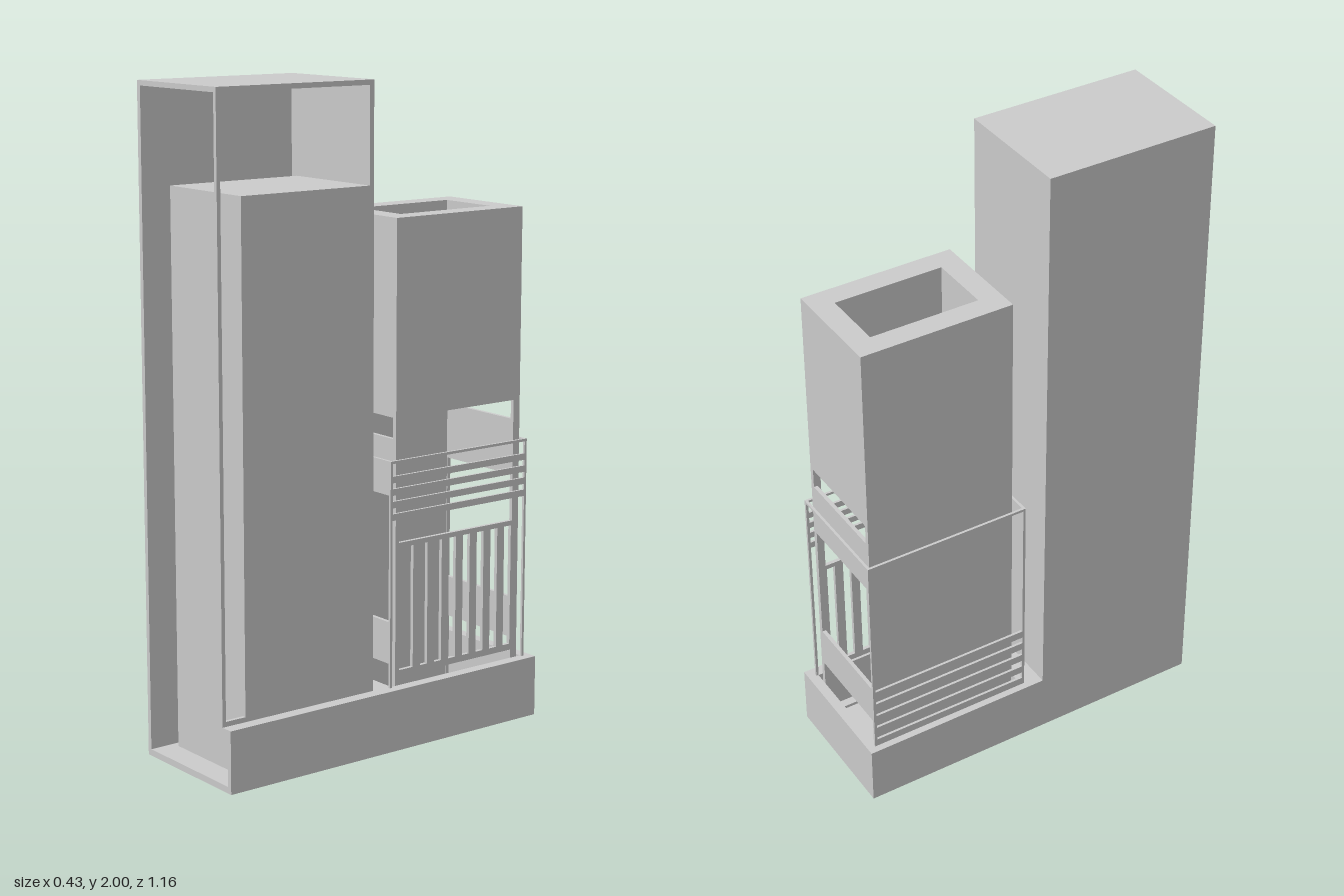
import * as THREE from 'three';

const material = new THREE.MeshStandardMaterial({ color: 0xcccccc, side: THREE.DoubleSide });

export function createModel() {
  const model = new THREE.Group();

  function section(name) {
    const g = new THREE.Group();
    g.name = name;
    model.add(g);
    return g;
  }

  // Box given by its lower and upper limits
  function box(parent, name, x0, x1, y0, y1, z0, z1) {
    const m = new THREE.Mesh(new THREE.BoxGeometry(x1 - x0, y1 - y0, z1 - z0), material);
    m.position.set((x0 + x1) / 2, (y0 + y1) / 2, (z0 + z1) / 2);
    m.name = name;
    parent.add(m);
    return m;
  }

  // Flat sheet from an outline and rectangular holes [u0, u1, v0, v1]
  function sheet(parent, name, outline, holes, depth) {
    const shape = new THREE.Shape(outline.map(([u, v]) => new THREE.Vector2(u, v)));
    for (const [a, b, c, d] of holes) {
      shape.holes.push(new THREE.Path(rect(a, b, c, d).reverse().map(([u, v]) => new THREE.Vector2(u, v))));
    }
    const m = new THREE.Mesh(new THREE.ExtrudeGeometry(shape, { depth, bevelEnabled: false }), material);
    m.name = name;
    parent.add(m);
    return m;
  }
  const rect = (a, b, c, d) => [[a, c], [b, c], [b, d], [a, d]];

  // Horizontal sheet whose upper face lies at the given height
  function plate(parent, name, outline, holes, depth, top) {
    const m = sheet(parent, name, outline, holes, depth);
    m.rotation.x = Math.PI / 2;
    m.position.y = top;
  }

  // Hollow base, open at the front
  const base = section('base');
  const shaftHole = [-0.183, 0.179, -0.548, -0.032];
  plate(base, 'baseFloor', rect(-0.215, 0.215, -0.58, 0.58),
    [shaftHole, [-0.165, 0.155, 0.06, 0.49]], 0.02, 0.02);
  plate(base, 'baseDeck',
    [[-0.215, -0.58], [0.215, -0.58], [0.215, 0.58], [0.16, 0.58], [0.16, 0.05], [-0.215, 0.05]],
    [shaftHole], 0.015, 0.19);
  box(base, 'baseLeftSide', -0.215, -0.2, 0, 0.19, -0.58, 0.58);
  box(base, 'baseRightSide', 0.2, 0.215, 0, 0.19, -0.58, 0.58);
  box(base, 'baseBack', -0.215, 0.215, 0, 0.19, -0.58, -0.565);

  // Tall tower shell, open to the front and one side
  const tower = section('towerShell');
  box(tower, 'roof', -0.215, 0.175, 1.985, 2, 0.035, 0.58);
  box(tower, 'sideWall', -0.215, -0.2, 0.19, 2, 0.035, 0.58);
  box(tower, 'backWall', -0.215, 0.175, 0.19, 2, 0.035, 0.05);
  box(tower, 'cornerPost', 0.163, 0.175, 0.175, 2, 0.568, 0.58);
  box(tower, 'sill', 0.163, 0.175, 0.19, 0.205, 0.5, 0.58);

  // Hollow inner volume, open underneath
  const core = section('innerCore');
  box(core, 'coreFront', -0.175, 0.175, 0.01, 1.7, 0.49, 0.5);
  box(core, 'coreBack', -0.175, 0.175, 0.01, 1.7, 0.04, 0.05);
  box(core, 'coreSide', -0.175, -0.165, 0.01, 1.7, 0.05, 0.5);
  box(core, 'coreSide', 0.155, 0.175, 0.01, 1.7, 0.05, 0.5);
  box(core, 'coreTop', -0.175, 0.175, 1.69, 1.7, 0.05, 0.5);

  // Shaft: thick-walled upper block on thin, pierced walls
  const shaft = section('shaft');
  const [x0, x1, z0, z1] = [-0.165, 0.175, -0.535, -0.05];
  plate(shaft, 'upperBlock', rect(x0, x1, z0, z1), [[-0.095, 0.105, -0.465, -0.12]], 0.59, 1.6);
  box(shaft, 'shaftFloor', x0, x1, 0.005, 0.02, z0, z1);
  box(shaft, 'shaftSolidWall', x0, x0 + 0.012, 0.02, 1.01, z0, z1);

  // Matching front and back walls with three openings
  const openings = [[0.945, 1.009], [0.38, 0.77], [0.03, 0.25]]
    .map(([lo, hi]) => [x0 + 0.015, x1 - 0.015, lo, hi]);
  for (const z of [z0, z1 - 0.012]) {
    const wall = sheet(shaft, 'shaftEndWall', rect(x0, x1, 0.02, 1.01), openings, 0.012);
    wall.position.z = z;
  }

  // Slotted screen below the open side
  const slots = [[z0 + 0.025, z1 - 0.013, 0.63, 1.009], [z0 + 0.025, z1 - 0.013, 0.03, 0.215]];
  for (let i = 0; i < 8; i++) {
    const end = i === 0 ? -0.064 : -0.146 - 0.0555 * (i - 1);
    const start = -0.118 - 0.0555 * i;
    slots.push([start, end, 0.235, 0.615]);
  }
  const screen = sheet(shaft, 'slottedScreen', rect(z0, z1, 0.02, 1.01), slots, 0.012);
  screen.rotation.y = -Math.PI / 2;
  screen.position.x = x1;

  // Thin cage around the shaft
  const cage = section('cage');
  const t = 0.008;
  const [cx0, cx1, cz0, cz1] = [-0.193, 0.188, -0.555, -0.02];
  for (const x of [cx0, cx1 - t]) {
    for (const z of [cz0, cz1 - t]) box(cage, 'cagePost', x, x + t, 0.19, 0.885, z, z + t);
    box(cage, 'cageTopRail', x, x + t, 0.877, 0.885, cz0, cz1);
  }
  for (const z of [cz0, cz1 - t]) box(cage, 'cageTopRail', cx0, cx1, 0.877, 0.885, z, z + t);

  // Slats: high on one side, low on the other
  for (let i = 0; i < 4; i++) {
    const y = 0.705 + i * 0.038;
    box(cage, 'highSlat', cx1 - t, cx1, y, y + 0.02, cz0, cz1);
  }
  for (let i = 0; i < 5; i++) {
    const y = 0.19 + i * 0.048;
    box(cage, 'lowSlat', cx0, cx0 + t, y, y + 0.025, cz0, cz1);
  }

  return model;
}
